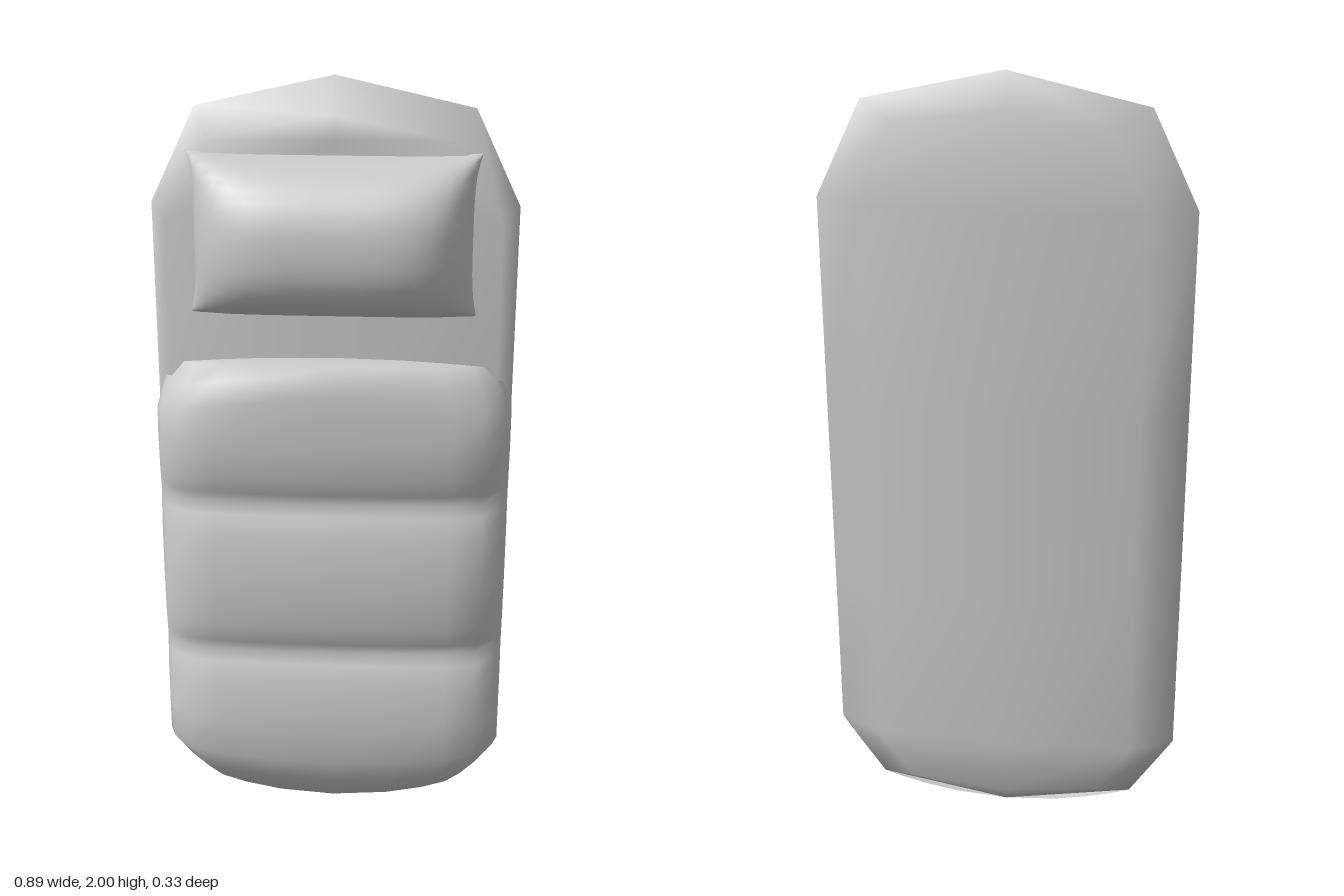
import * as THREE from 'three';
import { mergeVertices } from 'three/addons/utils/BufferGeometryUtils.js';

const RIM_Z = -0.09;
const HALF_WIDTH = 0.447;

// Smooth surface through a grid of points (rows top to bottom, columns left to right as seen).
function gridSurface(rows) {
  const cols = rows[0].length, index = [];
  for (let i = 0; i < rows.length - 1; i++) {
    for (let j = 0; j < cols - 1; j++) {
      const a = i * cols + j, c = a + cols;
      index.push(a, c, a + 1, a + 1, c, c + 1);
    }
  }
  let g = new THREE.BufferGeometry();
  g.setAttribute('position', new THREE.Float32BufferAttribute(rows.flat(2), 3));
  g.setIndex(index);
  g = mergeVertices(g, 1e-5);
  g.computeVertexNormals();
  return g;
}

// Lets the shading run smoothly round the side where the cover meets the back.
function softenRim(g, top) {
  const p = g.attributes.position, n = g.attributes.normal, v = new THREE.Vector3();
  for (let i = 0; i < p.count; i++) {
    if (Math.abs(p.getZ(i) - RIM_Z) > 1e-4 || p.getY(i) > top) continue;
    v.set(n.getX(i), n.getY(i), 0).normalize();
    n.setXYZ(i, v.x, v.y, 0);
  }
  return g;
}

// Mirrors half a row, given from the edge to the middle.
function mirrorRow(half) {
  return [...half, ...half.slice(0, -1).reverse().map(([x, y, z]) => [-x, y, z])];
}

// Half outline of the bag, from top centre to bottom centre
const outline = [[0, 2], [0.335, 1.925], [0.447, 1.69], [0.447, 1.18], [0.447, 0.65],
  [0.447, 0.23], [0.335, 0.06], [0, 0]];
const backRing = [[0, 1.92, -0.148], [0.25, 1.89, -0.138], [0.335, 1.69, -0.15], [0.335, 1.18, -0.15],
  [0.335, 0.65, -0.15], [0.335, 0.23, -0.15], [0.25, 0.09, -0.138], [0, 0.07, -0.148]];
const backSpine = [[1.92, -0.148], [1.92, -0.148], [1.69, -0.165], [1.18, -0.165],
  [0.65, -0.165], [0.23, -0.165], [0.07, -0.148], [0.07, -0.148]];
const frontRing = [[0, 1.92], [0.295, 1.86], [0.405, 1.66], [0.405, 1.18], [0.405, 0.65],
  [0.405, 0.26], [0.3, 0.12], [0, 0.08]];

function backGeometry() {
  const rows = outline.map(([x, y], i) =>
    mirrorRow([[x, y, RIM_Z], backRing[i], [0, ...backSpine[i]]]));
  return softenRim(gridSurface(rows), 1.19);
}

function innerPanelGeometry() {
  const rows = outline.map(([x, y], i) => {
    const [fx, fy] = frontRing[i];
    return mirrorRow([[-x, y, RIM_Z], [-fx, fy, -0.02], [0, fy, -0.02]]);
  });
  return gridSurface(rows);
}

// Cross-section of the cover: fraction of half width, z
const section = [[1, -0.09], [0.995, -0.02], [0.965, 0.015], [0.85, 0.065],
  [0.67, 0.08], [0.4, 0.088], [0, 0.092]];
// Rows of the cover: middle y, edge y, width scale, fullness, loss of fullness at the sides
const coverRows = [
  [1.32, 1.3, 0.91, 0.36, 0], [1.322, 1.3, 0.91, 0.82, 0.4], [1.305, 1.24, 0.96, 0.94, 0.25],
  [1.25, 1.18, 1, 0.99, 0.1], [1.12, 1.12, 1, 1, 0], [1.03, 1.03, 1, 0.93, 0],
  [0.98, 0.98, 1, 0.83, 0], [0.95, 0.95, 1, 0.76, 0], [0.92, 0.92, 1, 0.83, 0],
  [0.86, 0.86, 1, 0.95, 0], [0.735, 0.735, 1, 1, 0], [0.61, 0.61, 1, 0.95, 0],
  [0.55, 0.55, 1, 0.83, 0], [0.52, 0.52, 1, 0.76, 0], [0.49, 0.49, 1, 0.84, 0],
  [0.43, 0.43, 1, 0.96, 0], [0.32, 0.32, 1, 1, 0], [0.2, 0.23, 1, 0.97, 0],
  [0.12, 0.16, 0.9, 0.78, 0], [0.04, 0.1, 0.81, 0.48, 0], [0, 0.06, 0.75, 0, 0],
];

function coverGeometry() {
  const rows = coverRows.map(([yMid, yEdge, w, full, loss]) => mirrorRow(section.map(([s, z]) => [
    -s * w * HALF_WIDTH,
    yMid + (yEdge - yMid) * s * s,
    RIM_Z + (z - RIM_Z) * full * (1 - loss * s * s),
  ])));
  return softenRim(gridSurface(rows), 1.19);
}

// Pillow: domed rectangle with slightly pinched sides
function pillowGeometry() {
  const n = 20, rows = [];
  const spread = (k) => Math.sin((k / n - 0.5) * Math.PI);
  for (let i = 0; i <= n; i++) {
    const v = -spread(i), row = [];
    for (let j = 0; j <= n; j++) {
      const u = spread(j);
      const dome = Math.sqrt(Math.max(0, (1 - u ** 4) * (1 - Math.abs(v) ** 2.4)));
      row.push([
        u * (0.335 + 0.017 * v ** 4),
        1.632 + v * (0.194 + 0.006 * u ** 4),
        -0.03 + 0.195 * dome,
      ]);
    }
    rows.push(row);
  }
  return gridSurface(rows);
}

export function createModel() {
  const group = new THREE.Group();
  group.name = 'sleepingBag';
  const material = new THREE.MeshStandardMaterial({ color: 0xcccccc, side: THREE.DoubleSide });
  const parts = {
    back: backGeometry(),
    innerPanel: innerPanelGeometry(),
    quiltedCover: coverGeometry(),
    pillow: pillowGeometry(),
  };
  for (const [name, geometry] of Object.entries(parts)) {
    const mesh = new THREE.Mesh(geometry, material);
    mesh.name = name;
    group.add(mesh);
  }
  return group;
}
